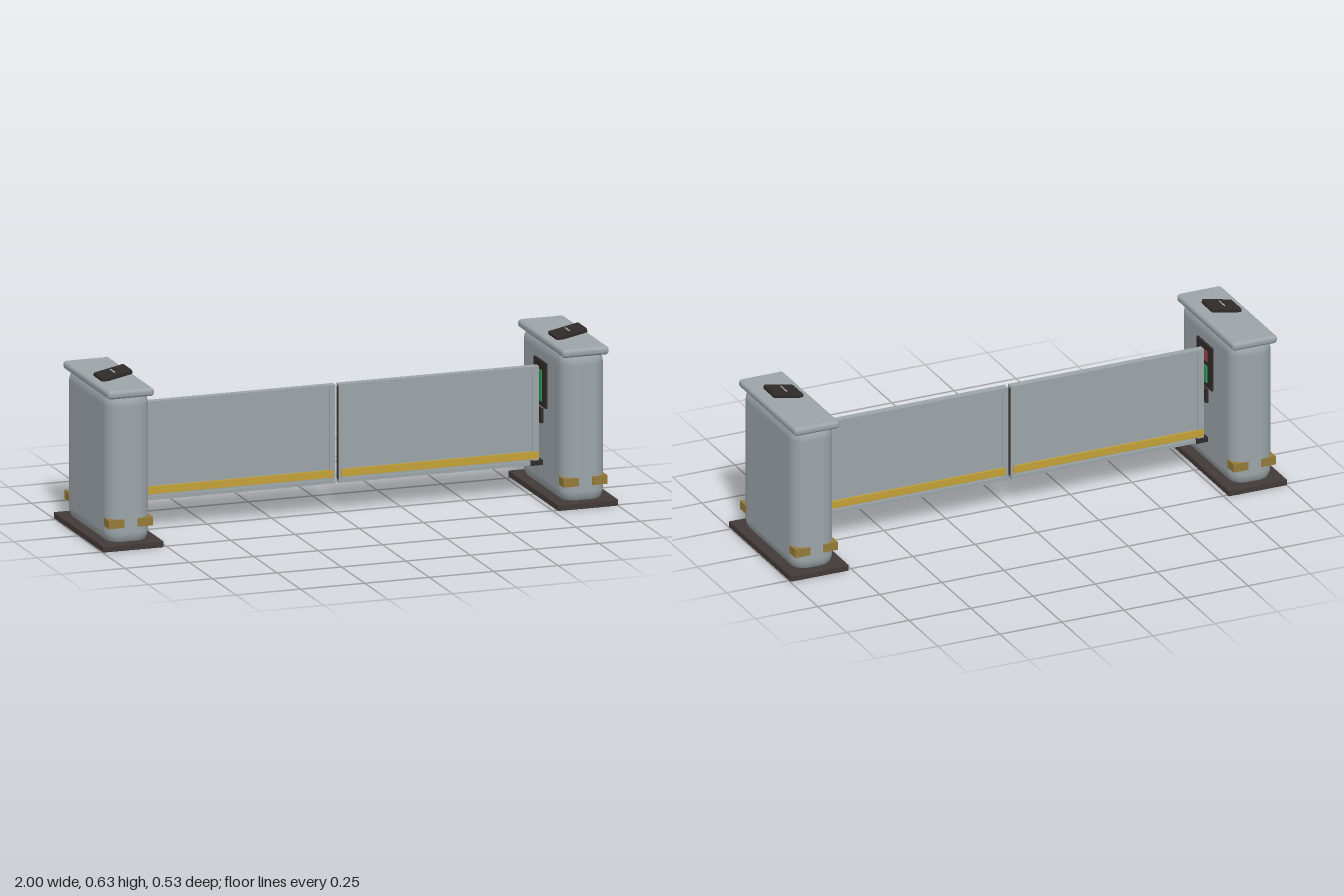
import * as THREE from 'three';
import { RoundedBoxGeometry } from 'three/addons/geometries/RoundedBoxGeometry.js';

const material = (name, color) => {
  const m = new THREE.MeshStandardMaterial({ color });
  m.name = name;
  return m;
};

export function createModel() {
  const steel = material('grey steel', 0x9ca5a9);
  const dark = material('dark brown', 0x433a38);
  const black = material('black plastic', 0x302b2a);
  const yellow = material('yellow stripe', 0xc4a238);
  const ochre = material('ochre reflector', 0x957b3a);
  const green = material('green light', 0x2f9a50);
  const red = material('red light', 0xa04040);
  const pale = material('pale mark', 0xb5b5b5);

  const model = new THREE.Group();
  model.name = 'swingGate';

  const add = (parent, name, geometry, mat, x, y, z) => {
    const mesh = new THREE.Mesh(geometry, mat);
    mesh.name = name;
    mesh.position.set(x, y, z);
    parent.add(mesh);
    return mesh;
  };
  // box given by its lower and upper limits on each axis
  const box = (parent, name, mat, x0, x1, y0, y1, z0, z1) =>
    add(parent, name, new THREE.BoxGeometry(Math.abs(x1 - x0), y1 - y0, z1 - z0), mat,
      (x0 + x1) / 2, (y0 + y1) / 2, (z0 + z1) / 2);

  for (const side of [-1, 1]) {
    const label = side < 0 ? 'right' : 'left';
    const inward = -side;

    // cabinet, centred on its own axis
    const post = new THREE.Group();
    post.name = label + 'Post';
    post.position.x = side * 0.8825;
    model.add(post);
    add(post, 'basePlate', new RoundedBoxGeometry(0.235, 0.0235, 0.532, 2, 0.003), dark, 0, 0.01275, 0);
    add(post, 'cabinet', new RoundedBoxGeometry(0.17, 0.595, 0.476, 5, 0.06), steel, 0, 0.2975, 0);
    add(post, 'cap', new RoundedBoxGeometry(0.18, 0.031, 0.494, 4, 0.013), steel, 0, 0.5835, 0);

    // corner reflectors
    for (const sx of [-1, 1]) for (const sz of [-1, 1])
      add(post, 'cornerReflector', new THREE.BoxGeometry(0.06, 0.032, 0.051), ochre,
        sx * 0.0555, 0.096, sz * 0.2135);

    // tilted card reader with its slot
    const reader = new THREE.Group();
    reader.name = 'cardReader';
    reader.position.set(0, 0.614, 0.047);
    reader.rotation.z = 0.2;
    post.add(reader);
    add(reader, 'readerBody', new RoundedBoxGeometry(0.122, 0.018, 0.094, 2, 0.005), black, 0, 0, 0);
    add(reader, 'readerSlot', new THREE.BoxGeometry(0.005, 0.002, 0.05), pale, 0, 0.0095, 0);

    // signal plate, lights and sensor on the inner face
    const face = inward * 0.085;
    box(post, 'signalPlate', black, face - inward * 0.005, face + inward * 0.008, 0.335, 0.505, -0.065, 0.065);
    const lit = face + inward * 0.008;
    box(post, 'greenLight', green, lit, lit + inward * 0.005, 0.355, side > 0 ? 0.47 : 0.42, -0.03, 0.03);
    if (side < 0)
      box(post, 'redLight', red, lit, lit + inward * 0.003, 0.44, 0.48, -0.03, 0.03);
    box(post, 'sensor', black, face - inward * 0.005, face + inward * 0.01, 0.27, 0.325, -0.02, 0.02);

    // gate leaf
    const leaf = new THREE.Group();
    leaf.name = label + 'Leaf';
    model.add(leaf);
    const inner = side * 0.007, outer = side * 0.783;
    box(leaf, 'sheet', steel, inner, outer, 0.12, 0.48, -0.007, 0.007);
    box(leaf, 'topRail', steel, inner, outer, 0.47, 0.485, -0.014, 0.014);
    box(leaf, 'bottomRail', steel, inner, outer, 0.113, 0.128, -0.014, 0.014);
    box(leaf, 'innerStile', steel, inner, side * 0.028, 0.128, 0.47, -0.013, 0.013);
    box(leaf, 'outerStile', steel, side * 0.758, outer, 0.128, 0.47, -0.013, 0.013);
    box(leaf, 'edgeSeal', dark, side * 0.005, inner, 0.125, 0.475, -0.006, 0.006);
    for (const sz of [-1, 1])
      add(leaf, 'warningStripe', new THREE.BoxGeometry(0.768, 0.028, 0.008), yellow,
        side * 0.399, 0.15, sz * 0.0115);

    // bottom pivot bracket
    box(leaf, 'pivotBracket', black, side * 0.75, side * 0.805, 0.112, 0.13, -0.018, 0.018);
  }
  return model;
}
